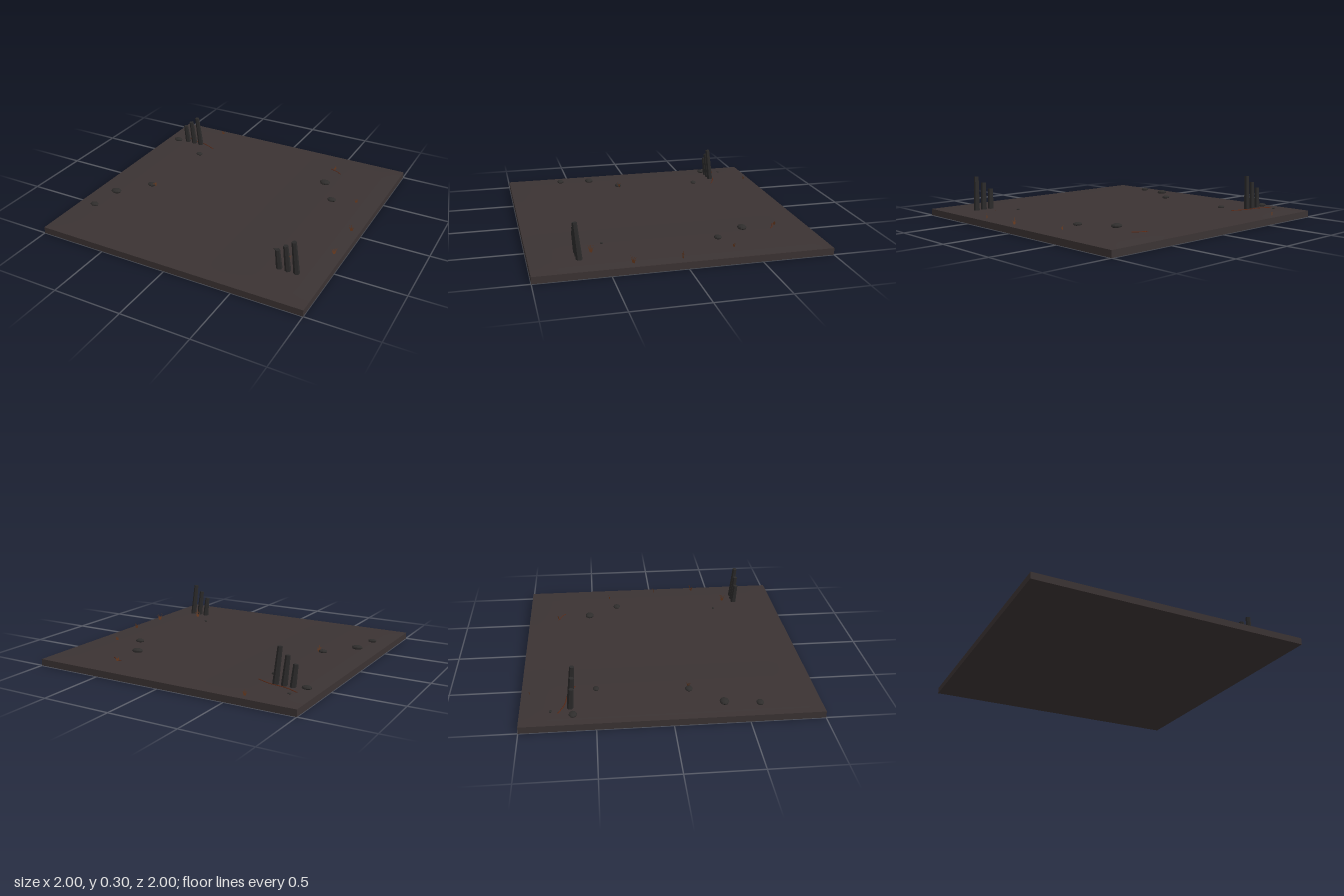
import * as THREE from 'three';

const mat = (name, color, side = THREE.FrontSide, flatShading = false) => {
  const m = new THREE.MeshStandardMaterial({ color, side, flatShading });
  m.name = name;
  return m;
};

// Ground height: a shallow trough along the middle, flat at the rim
function groundY(x, z) {
  const rise = THREE.MathUtils.smoothstep(Math.abs(x), 0.15, 0.7);
  const rim = 1 - THREE.MathUtils.smoothstep(Math.max(Math.abs(x), Math.abs(z)), 0.85, 1);
  return 0.047 + 0.007 * rise * rim;
}

export function createModel() {
  const model = new THREE.Group();
  const earth = mat('earth', 0x3b3333);
  const basalt = mat('basalt', 0x2b2a2a, THREE.FrontSide, true);
  const stone = mat('stone', 0x2f2d2c, THREE.FrontSide, true);
  const dryGrass = mat('dryGrass', 0x6c3c20, THREE.DoubleSide);
  const ember = mat('ember', 0x5a2a18, THREE.DoubleSide);

  const add = (name, geometry, material, parent = model) => {
    const mesh = new THREE.Mesh(geometry, material);
    mesh.name = name;
    parent.add(mesh);
    return mesh;
  };

  // Square slab with gently uneven top
  const slab = new THREE.BoxGeometry(2, 0.05, 2, 32, 1, 32);
  slab.translate(0, 0.025, 0);
  const p = slab.attributes.position;
  for (let i = 0; i < p.count; i++) {
    if (p.getY(i) > 0.02) p.setY(i, groundY(p.getX(i), p.getZ(i)));
  }
  slab.computeVertexNormals();
  add('groundSlab', slab, earth);

  // Two rows of leaning six-sided columns, rising toward +x
  for (const [cx, cz] of [[-0.75, -0.67], [0.75, 0.675]]) {
    const row = new THREE.Group();
    row.name = 'columnCluster';
    for (let i = 0; i < 3; i++) {
      const h = 0.165 + i * 0.05;
      const geo = new THREE.CylinderGeometry(0.017, 0.022, h, 6);
      geo.translate(0, h / 2, 0);
      const column = add('column', geo, basalt, row);
      column.position.set(cx + (i - 1) * 0.062, 0.038, cz);
      column.rotation.set(0.09, 0, 0.07);
    }
    model.add(row);
  }

  // Flattened stones: x, z, radius
  const stones = [
    [-0.9, -0.65, 0.035], [-0.6, -0.495, 0.028], [-0.66, 0.135, 0.033],
    [-0.84, 0.35, 0.041], [-0.87, 0.585, 0.033], [0.515, -0.525, 0.042],
    [0.66, -0.3, 0.034], [-0.85, -0.795, 0.014], [0.57, 0.49, 0.013],
  ];
  for (const [x, z, r] of stones) {
    const s = add('stone', new THREE.SphereGeometry(1, 10, 6), stone);
    s.scale.set(r, r * 0.4, r * 0.78);
    s.position.set(x, groundY(x, z) + r * 0.24, z);
  }

  // Dry grass: fans of upright blades: x, z, height, yaw
  const tufts = [
    [0.71, 0.585, 0.07, 1.0], [0.94, 0.35, 0.07, 0.75], [-0.63, 0.135, 0.055, 0.75],
    [0.94, 0.025, 0.055, 0.15], [0.835, -0.355, 0.04, 0.4],
    [0.5, -0.775, 0.035, 0.6], [-0.62, -0.945, 0.04, 0.3],
  ];
  for (const [x, z, h, yaw] of tufts) {
    const tuft = new THREE.Group();
    tuft.name = 'grassTuft';
    for (let i = -2; i <= 2; i++) {
      const tip = h * (i % 2 ? 0.8 : 1 - 0.1 * Math.abs(i));
      const root = i * 0.002;
      const blade = new THREE.Shape([
        new THREE.Vector2(root - 0.0035, 0),
        new THREE.Vector2(root + 0.0035, 0),
        new THREE.Vector2(i * h * 0.17, tip),
      ]);
      add('grassBlade', new THREE.ShapeGeometry(blade), dryGrass, tuft);
    }
    tuft.position.set(x, groundY(x, z) - 0.002, z);
    tuft.rotation.y = yaw;
    model.add(tuft);
  }

  // Thin glowing cracks lying on the ground
  const cracks = [
    [[-0.88, -0.75], [-0.78, -0.706], [-0.66, -0.685], [-0.55, -0.637]],
    [[0.47, -0.77], [0.525, -0.75], [0.57, -0.72]],
  ];
  for (const pts of cracks) {
    const path = new THREE.CatmullRomCurve3(
      pts.map(([x, z]) => new THREE.Vector3(x, groundY(x, z) + 0.001, z)));
    add('crack', new THREE.TubeGeometry(path, 16, 0.004, 5), ember);
  }
  return model;
}
